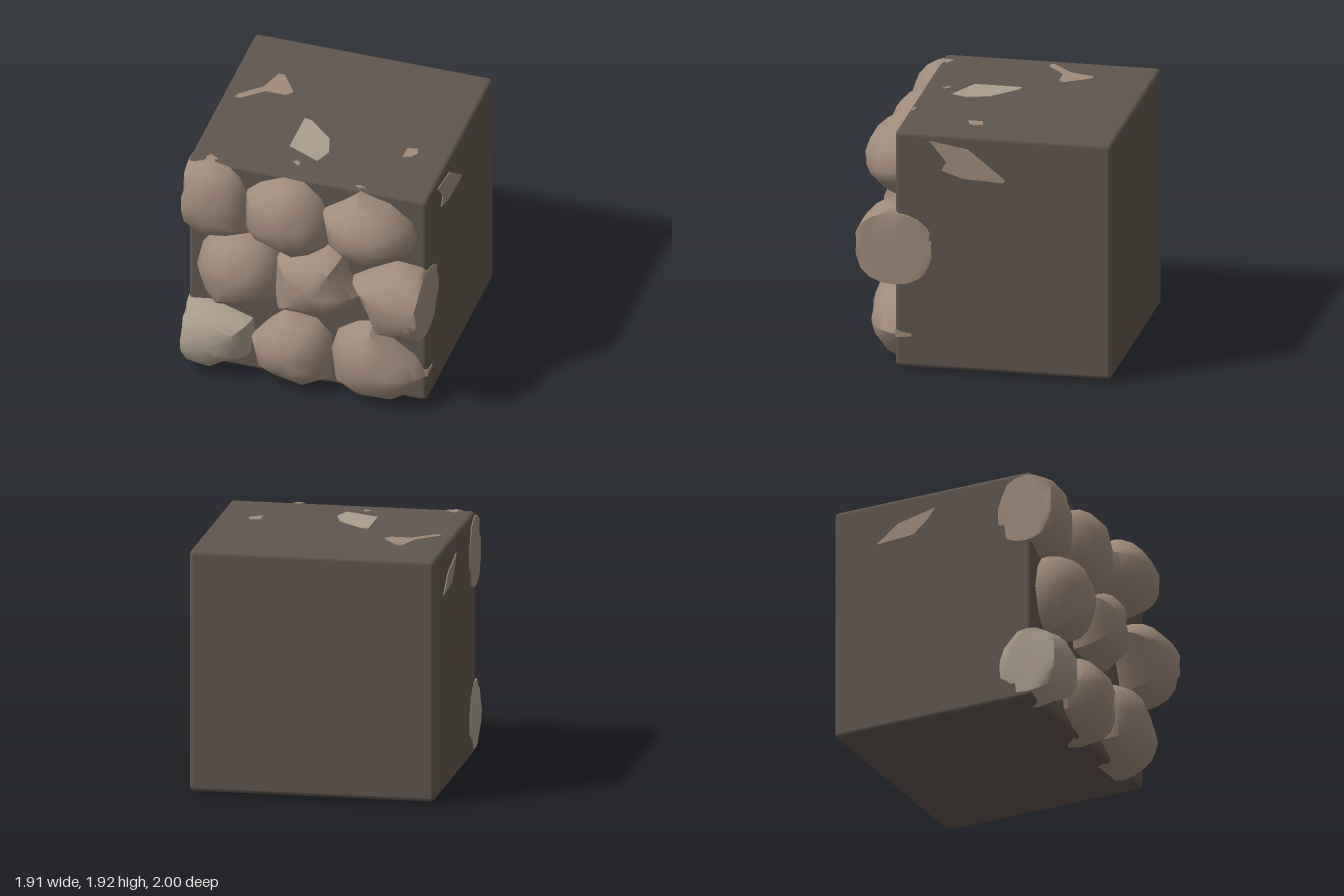
import * as THREE from 'three';
import { RoundedBoxGeometry } from 'three/addons/geometries/RoundedBoxGeometry.js';
import { toCreasedNormals } from 'three/addons/utils/BufferGeometryUtils.js';

const paint = (color) => new THREE.MeshStandardMaterial({ color });
const core = paint(0x60564e), stone = paint(0x9f8b7b), paleStone = paint(0xaa9d8c);
const SIDE = 0.957, TOP = 1.917;

// Boulder: a front outline (clockwise) swelled into a closed lump, cut flat at the block's sides
function boulder(name, [cx, cy, cz], depth, outline, material = stone) {
  const n = outline.length, rings = 10, pos = [], index = [];
  for (let j = 0; j <= rings; j++) {
    const a = (j / rings) * Math.PI;
    const s = Math.pow(Math.max(0, Math.sin(a)), 0.9);
    outline.forEach(([x, y], i) => {
      const lump = 1 + 0.07 * Math.sin(a) * Math.sin(i * 2.1 + cx * 9 + cy * 5);
      pos.push(
        THREE.MathUtils.clamp(cx + (x - cx) * s, -SIDE, SIDE),
        THREE.MathUtils.clamp(cy + (y - cy) * s, 0, TOP),
        cz + Math.cos(a) * depth * lump);
      if (j === rings) return;
      const k = (i + 1) % n, p = j * n + i, q = j * n + k;
      index.push(p, q, p + n, q, q + n, p + n);
    });
  }
  const geo = new THREE.BufferGeometry();
  geo.setAttribute('position', new THREE.Float32BufferAttribute(pos, 3));
  geo.setIndex(index);
  const mesh = new THREE.Mesh(toCreasedNormals(geo, 0.8), material);
  mesh.name = name;
  return mesh;
}

// Shallow stone chip breaking through a face of the block
function chip(name, points, place, material = stone) {
  const shape = new THREE.Shape(points.map(([u, v]) => new THREE.Vector2(u, v)));
  const geo = new THREE.ExtrudeGeometry(shape, { depth: 0.04, bevelEnabled: false });
  place(geo);
  const mesh = new THREE.Mesh(geo, material);
  mesh.name = name;
  return mesh;
}
// Points are x, z
const topChip = (name, pts, material) => chip(name, pts.map(([x, z]) => [x, -z]),
  (g) => g.rotateX(-Math.PI / 2).translate(0, TOP - 0.04, 0), material);
// Points are z, y
const sideChip = (name, pts, x) => chip(name, pts.map(([z, y]) => [-z, y]),
  (g) => g.rotateY(Math.PI / 2).translate(x, 0, 0));

export function createModel() {
  const model = new THREE.Group();
  model.name = 'stoneWallBlock';

  const block = new THREE.Mesh(new RoundedBoxGeometry(1.9, 1.89, 1.68, 2, 0.035), core);
  block.position.set(0, 0.965, -0.16);
  block.name = 'mortarBlock';
  model.add(block);

  // Three rows of boulders on the front
  model.add(
    boulder('topRightBoulder', [-0.8, 1.57, 0.63], 0.27, [
      [-1.12, 1.5], [-1.1, 1.7], [-1, 1.88], [-0.8, 1.92], [-0.62, 1.9], [-0.54, 1.83],
      [-0.48, 1.7], [-0.45, 1.5], [-0.43, 1.32], [-0.58, 1.27], [-0.81, 1.23], [-1, 1.33]]),
    boulder('topMiddleBoulder', [-0.15, 1.55, 0.62], 0.31, [
      [-0.5, 1.4], [-0.49, 1.72], [-0.38, 1.82], [-0.2, 1.9], [-0.02, 1.89], [0.12, 1.76],
      [0.19, 1.58], [0.17, 1.33], [0.05, 1.22], [-0.08, 1.18], [-0.42, 1.31]]),
    boulder('topLeftBoulder', [0.5, 1.57, 0.65], 0.34, [
      [0.13, 1.68], [0.3, 1.8], [0.42, 1.9], [0.66, 1.84], [0.84, 1.7], [0.88, 1.54],
      [0.85, 1.45], [0.7, 1.36], [0.54, 1.25], [0.3, 1.33], [0.17, 1.45]]),
    boulder('middleRightBoulder', [-0.52, 1, 0.64], 0.33, [
      [-0.88, 0.97], [-0.84, 1.15], [-0.76, 1.27], [-0.62, 1.33], [-0.5, 1.35], [-0.33, 1.32],
      [-0.22, 1.2], [-0.18, 1], [-0.22, 0.77], [-0.4, 0.69], [-0.72, 0.64], [-0.82, 0.75]]),
    boulder('centreBoulder', [0.08, 1, 0.63], 0.31, [
      [-0.27, 0.92], [-0.24, 1.18], [-0.05, 1.25], [0.2, 1.36], [0.31, 1.31], [0.34, 1.13],
      [0.46, 0.95], [0.38, 0.82], [0.25, 0.7], [0.1, 0.68], [-0.24, 0.7]]),
    boulder('middleLeftBoulder', [0.86, 0.98, 0.69], 0.31, [
      [0.37, 1.1], [0.52, 1.2], [0.72, 1.31], [0.92, 1.29], [1.1, 1.25], [1.25, 1.05],
      [1.2, 0.8], [1, 0.68], [0.78, 0.65], [0.55, 0.67], [0.47, 0.9]]),
    boulder('bottomRightBoulder', [-0.75, 0.32, 0.65], 0.28, [
      [-1.12, 0.3], [-1.06, 0.52], [-0.96, 0.59], [-0.76, 0.62], [-0.43, 0.51], [-0.42, 0.4],
      [-0.45, 0.18], [-0.62, 0.1], [-0.75, 0.01], [-0.96, 0.06], [-1.08, 0.15]], paleStone),
    boulder('bottomMiddleBoulder', [-0.12, 0.32, 0.62], 0.31, [
      [-0.45, 0.36], [-0.3, 0.55], [-0.18, 0.66], [0.08, 0.63], [0.2, 0.5], [0.22, 0.3],
      [0.2, 0.1], [0.02, 0], [-0.25, 0.04], [-0.4, 0.13]]),
    boulder('bottomLeftBoulder', [0.55, 0.33, 0.62], 0.31, [
      [0.19, 0.4], [0.24, 0.57], [0.4, 0.68], [0.53, 0.71], [0.68, 0.58], [0.88, 0.44],
      [0.96, 0.28], [0.88, 0.14], [0.72, 0.01], [0.42, 0.01], [0.22, 0.13]]));

  // Chips showing on the top
  model.add(
    topChip('topLongChip', [[-0.62, -0.54], [-0.57, -0.54], [-0.44, -0.35], [-0.48, -0.3],
      [-0.64, -0.3], [-0.8, -0.16], [-0.85, -0.16], [-0.84, -0.2], [-0.68, -0.35]]),
    topChip('topLargeChip', [[-0.26, -0.06], [-0.2, -0.05], [0, 0.13], [0.05, 0.3],
      [0, 0.43], [-0.26, 0.31]], paleStone),
    topChip('topSmallChip', [[0.6, 0.07], [0.68, 0.05], [0.7, 0.11], [0.67, 0.16], [0.6, 0.18]]),
    topChip('topTinyChip', [[-0.18, 0.49], [-0.14, 0.47], [-0.11, 0.51], [-0.13, 0.53]]),
    topChip('topFrontChip', [[0.37, 0.64], [0.4, 0.625], [0.46, 0.645], [0.4, 0.66]]));

  // Chips showing on both sides
  model.add(
    sideChip('leftSideChip', [[0.41, 1.85], [0.11, 1.8], [-0.18, 1.57], [-0.16, 1.55],
      [0.15, 1.565], [0.32, 1.62], [0.28, 1.69]], SIDE - 0.04),
    sideChip('leftLowerChip', [[0.68, 0.32], [0.62, 0.3], [0.55, 0.29], [0.55, 0.27],
      [0.68, 0.26]], SIDE - 0.04),
    sideChip('rightSideChip', [[-0.64, 1.56], [-0.45, 1.7], [-0.13, 1.77], [-0.2, 1.68],
      [-0.32, 1.58]], -SIDE));

  return model;
}
